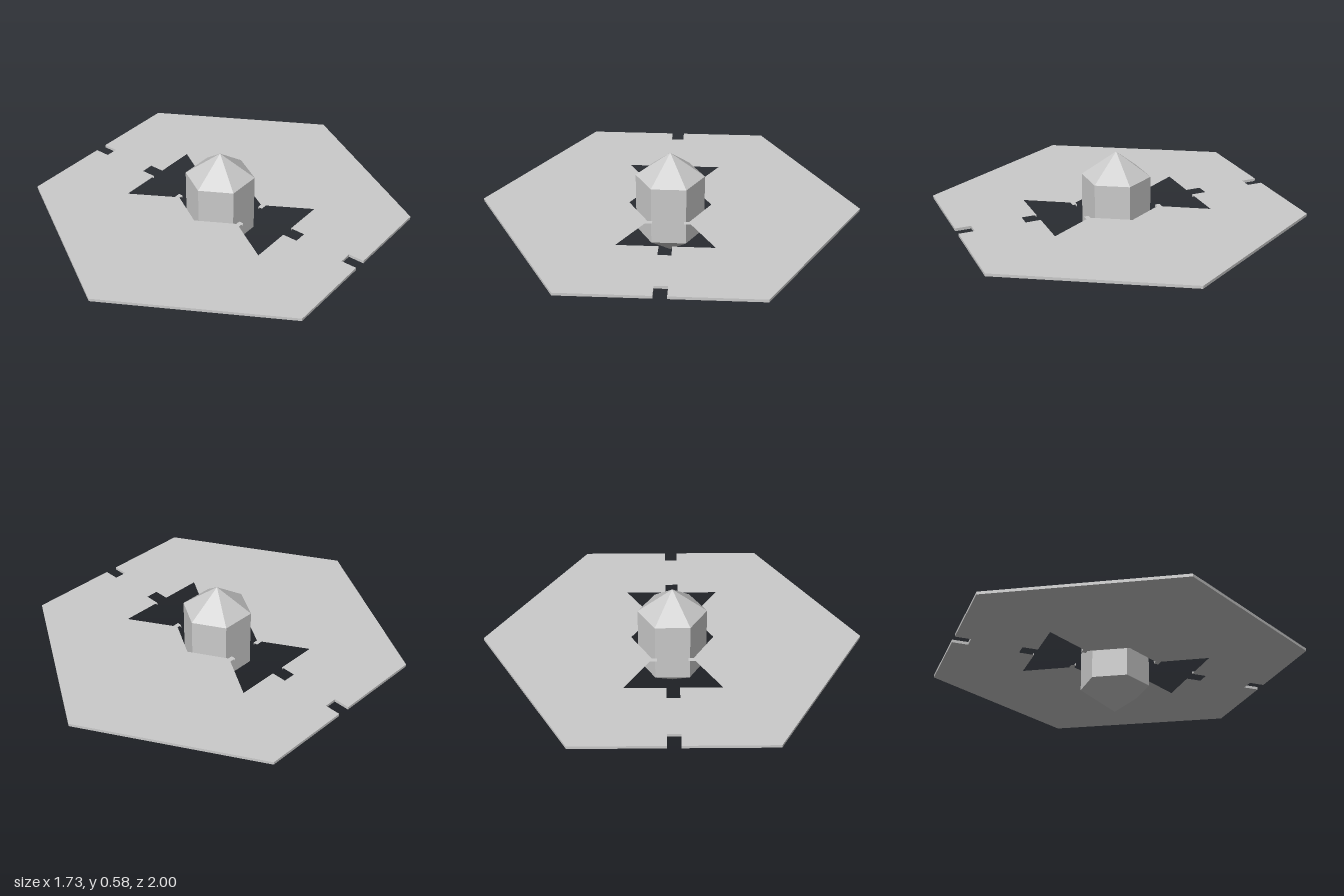
import * as THREE from 'three';

// Mirrors a quarter outline (running from the +y axis to the +x axis) into a closed loop
function mirrorQuarter(quarter) {
  const flip = (pts, sx, sy) => pts.map(([x, y]) => [x * sx, y * sy]);
  const loop = [
    ...quarter,
    ...flip(quarter, 1, -1).reverse(),
    ...flip(quarter, -1, -1).slice(1),
    ...flip(quarter, -1, 1).reverse().slice(0, -1),
  ];
  return loop.map(([x, y]) => new THREE.Vector2(x, y));
}

export function createModel() {
  const model = new THREE.Group();
  const material = new THREE.MeshStandardMaterial({ color: 0xcccccc, flatShading: true });

  // Hexagonal plate with a notch in each side edge
  const plateShape = new THREE.Shape(mirrorQuarter([
    [0, 1], [0.866, 0.5], [0.866, 0.034], [0.783, 0.034],
  ]));

  // Opening: central hexagon flaring into two notched wings, with small tabs at the waist
  plateShape.holes.push(new THREE.Path(mirrorQuarter([
    [0, 0.218], [0.19, 0.108], [0.19, 0.082], [0.215, 0.082],
    [0.215, 0.118], [0.434, 0.249], [0.434, 0.034], [0.515, 0.034],
  ])));

  const thickness = 0.015;
  const plateGeometry = new THREE.ExtrudeGeometry(plateShape, { depth: thickness, bevelEnabled: false });
  plateGeometry.rotateX(-Math.PI / 2);
  const plate = new THREE.Mesh(plateGeometry, material);
  plate.name = 'plate';
  plate.position.y = 0.27;
  model.add(plate);

  // Six-sided crystal, pointed at both ends, floating in the opening
  const profile = [[0, 0], [0.182, 0.135], [0.182, 0.452], [0, 0.585]];
  const crystal = new THREE.Mesh(
    new THREE.LatheGeometry(profile.map(([r, y]) => new THREE.Vector2(r, y)), 6),
    material,
  );
  crystal.name = 'crystal';
  model.add(crystal);

  return model;
}
